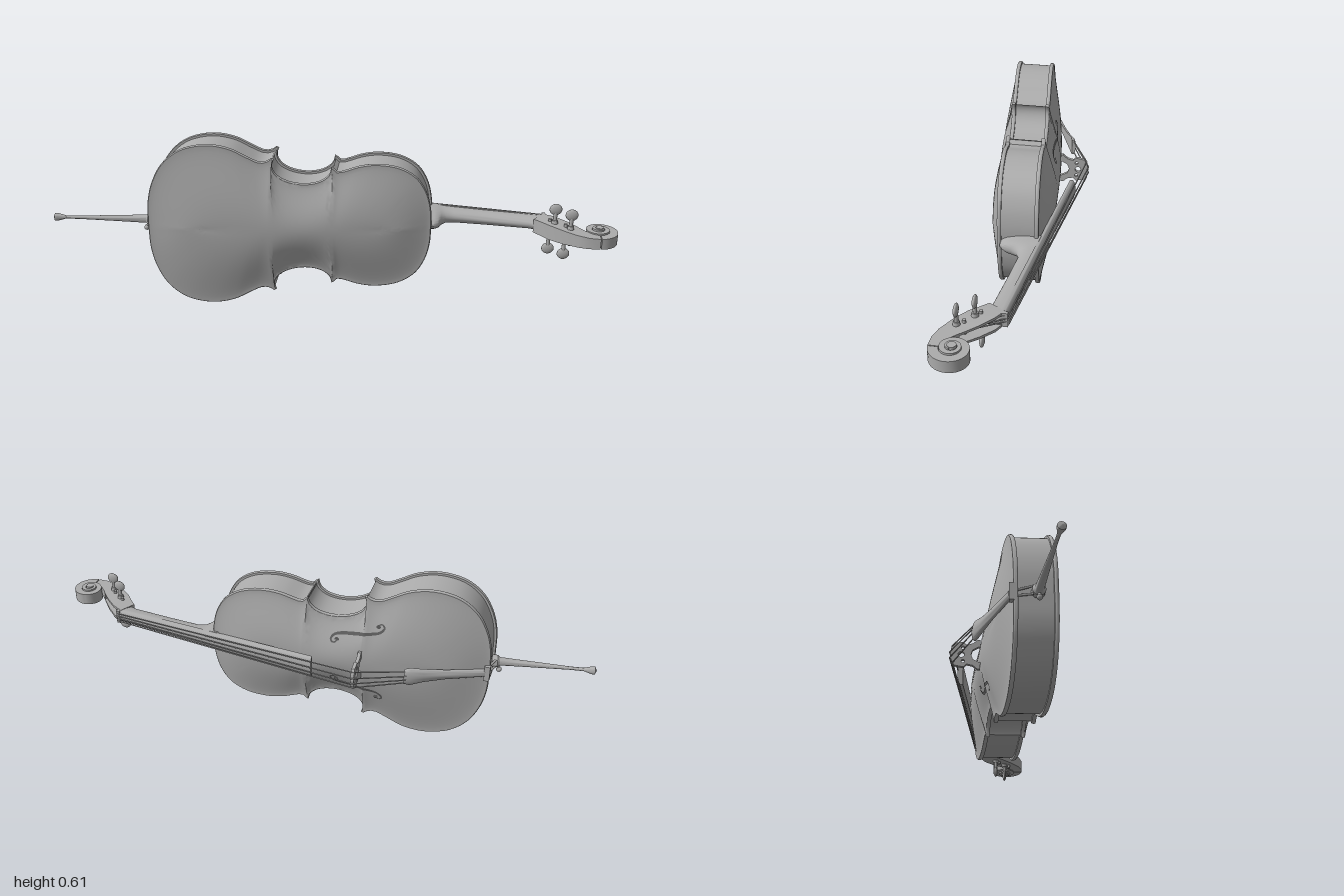
import * as THREE from 'three';
import { toCreasedNormals } from 'three/addons/utils/BufferGeometryUtils.js';

const V = (x, y, z) => new THREE.Vector3(x, y, z);
const CY = 0.305; // height of the long axis
const lerp = THREE.MathUtils.lerp;
const midZ = (x) => 0.07 - 0.093 * (x + 0.43); // tilted middle plane of the body
const boardZ = (x) => -0.145 + 0.126 * (x + 0.04); // fingerboard crest

export function createModel() {
  const model = new THREE.Group();
  const grey = new THREE.MeshStandardMaterial({ color: 0xacacac });
  grey.name = 'grey';
  const dark = new THREE.MeshStandardMaterial({ color: 0x606060, side: THREE.DoubleSide });
  dark.name = 'dark grey';

  function add(name, geo, parent = model, mat = grey) {
    const mesh = new THREE.Mesh(geo, mat);
    mesh.name = name;
    parent.add(mesh);
    return mesh;
  }
  function group(name) {
    const g = new THREE.Group();
    g.name = name;
    model.add(g);
    return g;
  }

  // Skin closed rings of points, turned so that the faces look outward
  function loft(rings, capped = true, crease = 0.7) {
    const n = rings[0].length, pts = rings.flat(), idx = [];
    for (let i = 0; i < rings.length - 1; i++) for (let j = 0; j < n; j++) {
      const a = i * n + j, b = i * n + (j + 1) % n;
      idx.push(a, b, b + n, a, b + n, a + n);
    }
    if (capped) for (const i of [0, rings.length - 1]) {
      const c = pts.length;
      pts.push(rings[i].reduce((s, p) => s.add(p), V(0, 0, 0)).divideScalar(n));
      for (let j = 0; j < n; j++) {
        const a = i * n + j, b = i * n + (j + 1) % n;
        if (i === 0) idx.push(c, b, a); else idx.push(c, a, b);
      }
    }
    const mid = new THREE.Box3().setFromPoints(pts).getCenter(V(0, 0, 0));
    let vol = 0;
    for (let i = 0; i < idx.length; i += 3) {
      const [a, b, c] = [0, 1, 2].map((k) => pts[idx[i + k]].clone().sub(mid));
      vol += a.dot(b.cross(c));
    }
    if (vol < 0) idx.reverse();
    const geo = new THREE.BufferGeometry().setFromPoints(pts);
    geo.setIndex(idx);
    return toCreasedNormals(geo, crease);
  }

  function rod(name, a, b, r0, r1 = r0, parent = model) {
    const mesh = add(name, new THREE.CylinderGeometry(r1, r0, a.distanceTo(b), 14), parent);
    mesh.position.copy(a).add(b).multiplyScalar(0.5);
    mesh.quaternion.setFromUnitVectors(V(0, 1, 0), b.clone().sub(a).normalize());
    return mesh;
  }

  // Half outline: lower bout, waist, upper bout; each point has a matching spine position
  const bouts = [
    [-0.46, -0.21, 40, [[-0.645, 0], [-0.641, 0.09], [-0.622, 0.165], [-0.583, 0.235], [-0.52, 0.285], [-0.43, 0.305],
      [-0.35, 0.292], [-0.29, 0.262], [-0.25, 0.243], [-0.225, 0.243], [-0.205, 0.255]]],
    [-0.208, 0.008, 28, [[-0.196, 0.25], [-0.203, 0.225], [-0.188, 0.195], [-0.15, 0.172], [-0.09, 0.162],
      [-0.035, 0.173], [-0.005, 0.197], [0.003, 0.223]]],
    [0.01, 0.2, 34, [[0.012, 0.218], [0.024, 0.207], [0.05, 0.212], [0.1, 0.228], [0.16, 0.235], [0.24, 0.222],
      [0.3, 0.185], [0.335, 0.13], [0.352, 0.065], [0.355, 0]]],
  ];
  const half = bouts.flatMap(([s0, s1, n, pts]) =>
    new THREE.CatmullRomCurve3(pts.map(([x, y]) => V(x, y, 0)), false, 'centripetal').getSpacedPoints(n)
      .map((p, i) => ({ x: p.x, y: p.y, s: lerp(s0, s1, i / n) })));
  const outline = [...half, ...half.slice(1, -1).reverse().map((p) => ({ ...p, y: -p.y }))];
  const N = outline.length;
  const inset = (d) => outline.map((p, i) => {
    const a = outline[(i + N - 1) % N], b = outline[(i + 1) % N];
    const l = Math.hypot(b.x - a.x, b.y - a.y) || 1;
    return { x: p.x + (b.y - a.y) / l * d, y: p.y - (b.x - a.x) / l * d, s: p.s };
  });
  const lift = (ring, w) => ring.map((p) => V(p.x, CY + p.y, midZ(p.x) + w));

  // Ribs and arched plates
  add('ribs', loft([lift(inset(0.01), -0.06), lift(inset(0.01), 0.06)], false));
  function plate(name, side, arch) {
    const rings = [[0.012, 0.056], [0.002, 0.056], [0, 0.06], [0, 0.066], [0.003, 0.07], [0.007, 0.07]]
      .map(([d, w]) => lift(inset(d), side * w));
    const edge = inset(0.007), steps = 16;
    for (let i = 1; i <= steps; i++) {
      const k = i / steps, rise = Math.sin(k * Math.PI / 2) ** 1.3;
      rings.push(edge.map((p) => {
        const x = lerp(p.x, p.s, k), top = arch * (1 - 0.3 * ((p.s + 0.13) / 0.33) ** 2);
        return V(x, CY + p.y * (1 - k), midZ(x) + side * (0.07 + top * rise));
      }));
    }
    return add(name, loft(rings, false));
  }
  plate('backPlate', 1, 0.044);
  const front = plate('frontPlate', -1, 0.048);

  // Sound holes: thin ribbons resting on the front plate
  front.updateMatrixWorld();
  const ray = new THREE.Raycaster();
  const onFront = (x, y) => {
    ray.set(V(x, y, -1), V(0, 0, 1));
    const hit = ray.intersectObject(front)[0];
    return V(x, y, (hit ? hit.point.z : midZ(x) - 0.1) - 0.002);
  };
  for (const m of [-1, 1]) {
    const holes = group(m > 0 ? 'leftSoundHole' : 'rightSoundHole');
    const curve = new THREE.CatmullRomCurve3([[-0.112, 0.083], [-0.1, 0.072], [-0.088, 0.082], [-0.1, 0.1], [-0.185, 0.115],
      [-0.262, 0.132], [-0.276, 0.152], [-0.264, 0.162], [-0.252, 0.152]].map(([x, y]) => V(x, CY + m * y, 0)));
    const pts = [], idx = [], n = 40;
    for (let i = 0; i <= n; i++) {
      const p = curve.getPointAt(i / n), t = curve.getTangentAt(i / n);
      const w = 0.002 + 0.004 * Math.sin(Math.PI * i / n);
      pts.push(onFront(p.x - t.y * w, p.y + t.x * w), onFront(p.x + t.y * w, p.y - t.x * w));
      if (i < n) idx.push(2 * i, 2 * i + 1, 2 * i + 2, 2 * i + 1, 2 * i + 3, 2 * i + 2);
    }
    const geo = new THREE.BufferGeometry().setFromPoints(pts);
    geo.setIndex(idx);
    geo.computeVertexNormals();
    add('soundSlot', geo, holes, dark);
    for (const [x, y] of [[-0.11, 0.085], [-0.254, 0.151]]) {
      const eye = add('soundEye', new THREE.CircleGeometry(0.008, 16), holes, dark);
      eye.position.copy(onFront(x, CY + m * y));
    }
  }

  // Neck with heel: sections of [x, underside z, half width]
  const arc = (n, f) => Array.from({ length: n + 1 }, (_, i) => f(Math.PI * i / n));
  add('neck', loft([[0.335, 0.058, 0.034], [0.365, 0.057, 0.033], [0.38, 0.045, 0.031], [0.39, 0.015, 0.029], [0.405, -0.008, 0.028],
    [0.435, -0.018, 0.027], [0.55, -0.006, 0.025], [0.7, 0.012, 0.024], [0.745, 0.03, 0.024]].map(([x, zb, w]) => {
    const zt = boardZ(x) + 0.017;
    return arc(14, (a) => V(x, CY + w * Math.cos(a), zt + (zb - zt) * Math.sin(a) ** 0.8));
  })));

  // Fingerboard and tailpiece: crowned bars of [x, crest z, half width, thickness]
  const bar = (stations) => loft(stations.map(([x, z, w, t]) => [
    ...arc(10, (a) => V(x, CY + w * Math.cos(a), z + t * 0.65 * (1 - Math.sin(a)))),
    V(x, CY - w, z + t), V(x, CY + w, z + t)]));
  add('fingerboard', bar([-0.04, 0.3, 0.75].map((x) => [x, boardZ(x), lerp(0.04, 0.024, (x + 0.04) / 0.79), 0.02])));
  add('tailpiece', bar([[-0.365, -0.102, 0.03, 0.014], [-0.385, -0.1, 0.034, 0.018], [-0.43, -0.078, 0.025, 0.016],
    [-0.5, -0.048, 0.018, 0.014], [-0.63, 0.004, 0.014, 0.014]]));
  add('nut', new THREE.BoxGeometry(0.012, 0.05, 0.024)).position.set(0.754, CY, boardZ(0.754) + 0.009);
  add('saddle', new THREE.BoxGeometry(0.02, 0.06, 0.022)).position.set(-0.636, CY, 0.017);

  // Hollow pegbox: [upper x, z, lower x, z, half width, cavity depth]
  const box = [[0.745, -0.035, 0.715, 0.016, 0.025, 0], [0.76, -0.03, 0.735, 0.036, 0.026, 0], [0.762, -0.029, 0.737, 0.038, 0.026, 0.6],
    [0.787, -0.015, 0.765, 0.07, 0.027, 0.6], [0.83, 0.024, 0.81, 0.107, 0.025, 0.6], [0.868, 0.068, 0.855, 0.135, 0.022, 0.5],
    [0.871, 0.073, 0.858, 0.137, 0.022, 0], [0.9, 0.105, 0.895, 0.15, 0.02, 0], [0.932, 0.115, 0.932, 0.152, 0.019, 0]];
  add('pegbox', loft(box.map(([xu, zu, xl, zl, w, d]) => {
    const at = (s, k) => V(lerp(xu, xl, k), CY + s * w, lerp(zu, zl, k));
    return [at(1, 0), at(1, 1), at(-1, 1), at(-1, 0), at(-0.65, 0), at(-0.65, d), at(0.65, d), at(0.65, 0)];
  })));

  // Scroll: a band winding inward and growing wider toward its eye
  const turns = [];
  for (let i = 0; i <= 90; i++) {
    const a = i / 90 * 4.4 * Math.PI, r = 0.072 * Math.exp(-0.1 * a), w = 0.019 + 0.0009 * a;
    const at = (s, k) => V(0.935 + Math.sin(a) * r * k, CY + s * w, 0.08 + Math.cos(a) * r * k);
    turns.push([at(1, 0.55), at(1, 1), at(-1, 1), at(-1, 0.55)]);
  }
  const scroll = group('scroll');
  add('scrollBand', loft(turns), scroll);
  rod('scrollEye', V(0.935, CY - 0.033, 0.08), V(0.935, CY + 0.033, 0.08), 0.014, 0.014, scroll);

  // Tuning pegs: [x, z, side]
  const pegSpots = [[0.77, 0.03, -1], [0.785, 0.045, 1], [0.82, 0.07, -1], [0.835, 0.09, 1]];
  for (const [x, z, m] of pegSpots) {
    const peg = group('tuningPeg');
    const at = (d) => V(x, CY + m * d, z);
    rod('pegShaft', at(-0.036), at(0.075), 0.006, 0.007, peg);
    rod('pegCollar', at(0.026), at(0.038), 0.012, 0.01, peg);
    const head = add('pegHead', new THREE.SphereGeometry(1, 18, 12), peg);
    head.scale.set(0.022, 0.021, 0.008);
    head.position.copy(at(0.078));
  }

  // Bridge: cut-out plate standing on two feet
  const side = [[0.018, 0.026], [0.028, 0.008], [0.03, 0], [0.056, 0], [0.056, 0.01], [0.042, 0.026], [0.037, 0.048], [0.048, 0.058],
    [0.046, 0.07], [0.042, 0.09], [0.025, 0.1]];
  const shape = new THREE.Shape([[0, 0.032], ...side, [0, 0.105], ...side.map(([s, h]) => [-s, h]).reverse()]
    .map(([s, h]) => new THREE.Vector2(s, h)));
  for (const [s, h, r] of [[0, 0.066, 0.011], [0.026, 0.06, 0.006], [-0.026, 0.06, 0.006]])
    shape.holes.push(new THREE.Path().absarc(s, h, r, 0, Math.PI * 2, true));
  const bridgeGeo = new THREE.ExtrudeGeometry(shape, { depth: 0.012, bevelEnabled: false, curveSegments: 8 });
  bridgeGeo.applyMatrix4(new THREE.Matrix4().makeBasis(V(0, 1, 0), V(0, 0, -1), V(-1, 0, 0)).setPosition(-0.192, CY, -0.068));
  add('bridge', bridgeGeo);

  // Strings from tailpiece over bridge and nut to the pegs
  [-0.033, -0.011, 0.011, 0.033].forEach((s, i) => {
    const string = group('string'), r = 0.0022;
    const crest = V(-0.198, CY + s, -0.175 + 8 * s * s);
    const nut = V(0.754, CY + s * 0.5, boardZ(0.754) - 0.005);
    const peg = pegSpots[[0, 2, 3, 1][i]];
    rod('stringTail', V(-0.375, CY + s * 0.7, -0.1 + 6 * s * s), crest, r, r, string);
    rod('stringSpan', crest, nut, r, r, string);
    rod('stringEnd', nut, V(peg[0], CY + s * 0.35, peg[1] - 0.006), r, r, string);
  });

  // Endpin with collar, thumbscrew and tail cords
  const pinStart = V(-0.64, CY, 0.095), pinEnd = V(-1, 0.313, 0.132);
  const pin = add('endpin', toCreasedNormals(new THREE.LatheGeometry([[0, 0], [0.022, 0], [0.022, 0.02], [0.015, 0.028], [0.012, 0.1],
    [0.006, 0.27], [0.006, 0.318], [0.014, 0.346], [0.014, 0.356], [0, 0.362]].map(([r, d]) => new THREE.Vector2(r, d)), 20), 0.7));
  pin.position.copy(pinStart);
  pin.quaternion.setFromUnitVectors(V(0, 1, 0), pinEnd.clone().sub(pinStart).normalize());
  rod('thumbscrewShaft', V(-0.66, 0.295, 0.097), V(-0.666, 0.276, 0.097), 0.005);
  const knob = add('thumbscrewKnob', new THREE.SphereGeometry(0.01, 12, 8));
  knob.position.set(-0.668, 0.272, 0.097);
  for (const m of [-1, 1]) rod('tailCord', V(-0.625, CY + m * 0.008, 0.008), V(-0.654, CY + m * 0.014, 0.08), 0.004);

  return model;
}
